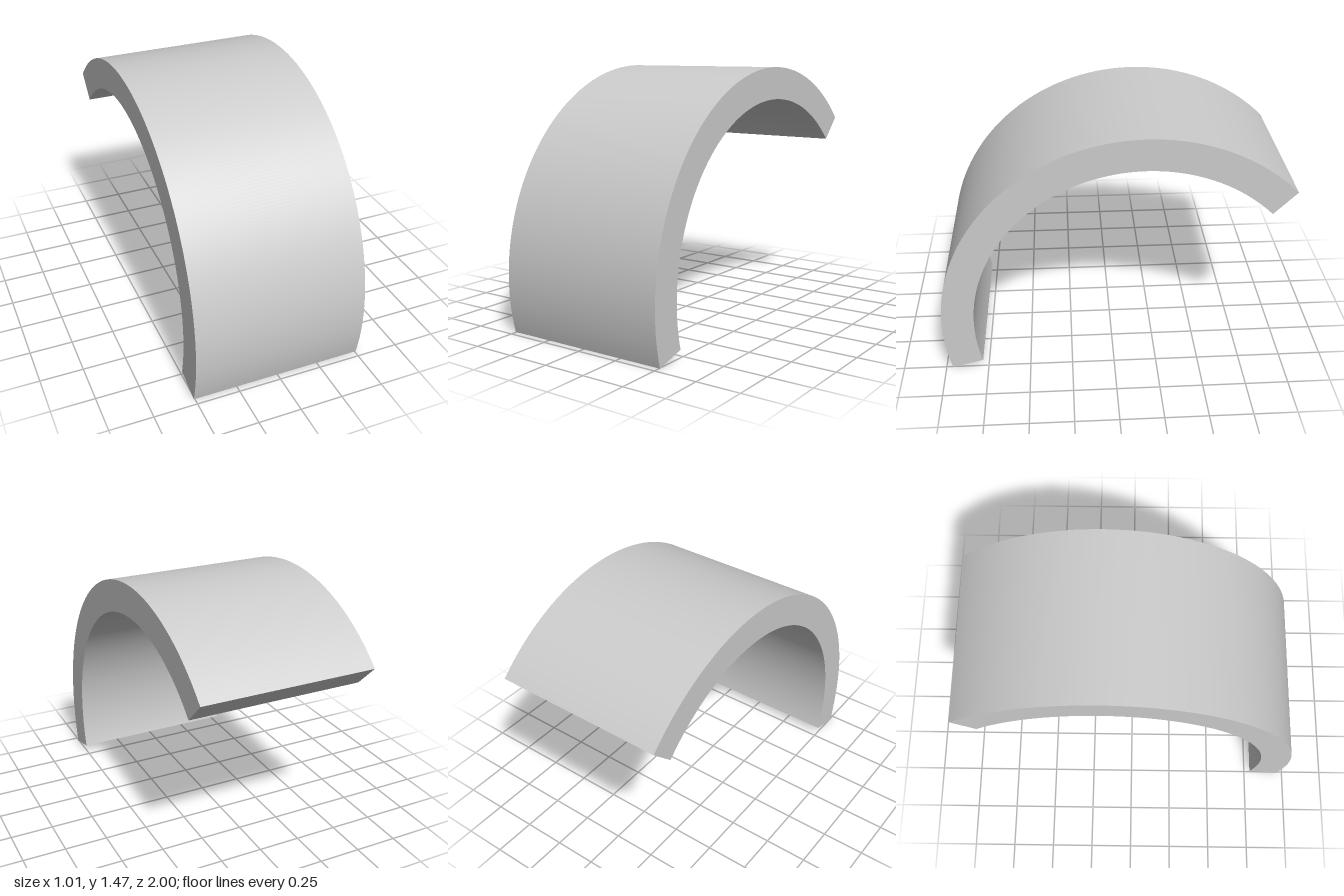
import * as THREE from 'three';
import { toCreasedNormals } from 'three/addons/utils/BufferGeometryUtils.js';

export function createModel() {
  const group = new THREE.Group();
  group.name = 'curvedShell';

  const outer = 1.1716, inner = 0.986, width = 1.012;
  const start = THREE.MathUtils.degToRad(-15), end = THREE.MathUtils.degToRad(135);

  // Ring sector: the outer arc forward, the inner arc back
  const profile = new THREE.Shape();
  profile.absarc(0, 0, outer, start, end, false);
  profile.absarc(0, 0, inner, end, start, true);
  profile.closePath();

  // Extruded across the width, then turned so the arc lies in the z-y plane
  const extruded = new THREE.ExtrudeGeometry(profile, { depth: width, bevelEnabled: false, curveSegments: 80 });
  extruded.translate(0, 0, -width / 2);
  extruded.rotateY(-Math.PI / 2);
  extruded.translate(0, -outer * Math.sin(start), 1 - outer);

  const shell = new THREE.Mesh(
    toCreasedNormals(extruded, Math.PI / 6),
    new THREE.MeshStandardMaterial({ color: 0xcccccc })
  );
  shell.name = 'arcBand';
  group.add(shell);
  return group;
}
